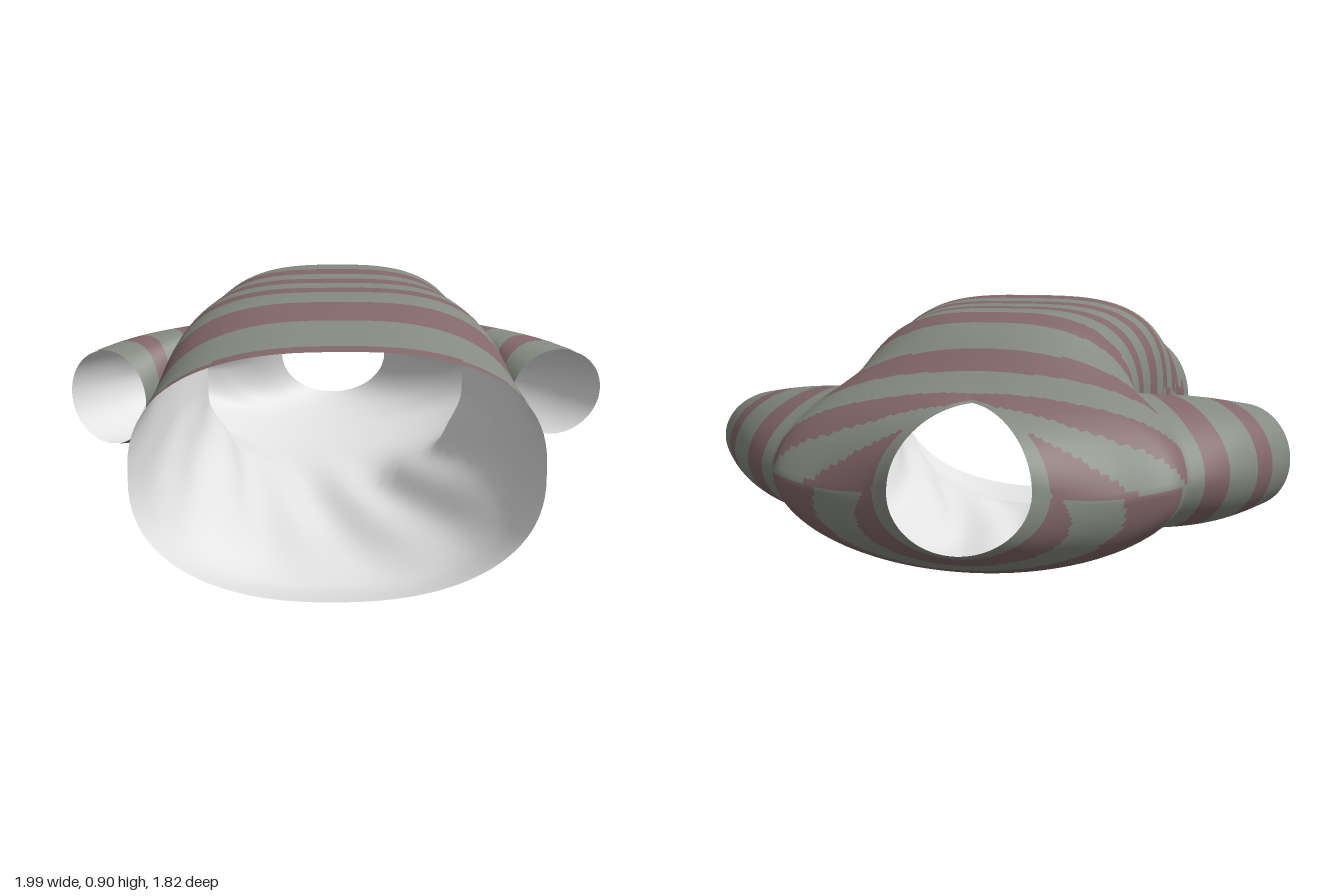
import * as THREE from 'three';

const COLS = 96, ROWS = 165, SLEEVE_STEPS = 30;

// Torso rings from hem to neckline:
// zFront, zSide, zBack, halfWidth, yFront, ySide, yBack, front roundness, back roundness, V shape
const RINGS = [
  [0.88, 0.835, 0.91, 0.62, 0.79, 0.41, 0.03, 2.6, 2.25, 0],
  [0.73, 0.72, 0.73, 0.585, 0.85, 0.42, 0.0, 2.7, 2.3, 0],
  [0.55, 0.55, 0.55, 0.55, 0.90, 0.46, 0.03, 3.1, 2.1, 0],
  [0.30, 0.30, 0.30, 0.52, 0.90, 0.49, 0.035, 3.3, 2.0, 0],
  [0.05, 0.05, 0.05, 0.475, 0.90, 0.49, 0.045, 3.3, 2.0, 0],
  [-0.20, -0.20, -0.20, 0.485, 0.90, 0.46, 0.05, 2.9, 2.0, 0],
  [-0.33, -0.35, -0.36, 0.55, 0.845, 0.44, 0.065, 2.3, 2, 0],
  [-0.44, -0.535, -0.55, 0.67, 0.765, 0.43, 0.095, 2, 2, 0],
  [-0.52, -0.69, -0.71, 0.64, 0.71, 0.42, 0.14, 2, 2, 0.1],
  [-0.57, -0.765, -0.80, 0.46, 0.685, 0.40, 0.185, 1.95, 2, 0.4],
  [-0.60, -0.82, -0.87, 0.30, 0.67, 0.41, 0.225, 1.95, 2, 0.75],
  [-0.62, -0.855, -0.91, 0.22, 0.66, 0.43, 0.25, 2, 2, 0.88],
];
const LAST = RINGS.length - 1;

// Armhole extents in the torso grid
const R0 = Math.round(5.45 / LAST * ROWS), R1 = Math.round(7.65 / LAST * ROWS);
const RMID = (R0 + R1) / 2, RHALF = (R1 - R0) / 2;
const MID = COLS / 4, HALF = 9, C0 = MID - HALF, C1 = MID + HALF;

// Sleeve cuffs: centre, horizontal half axis, half height
const CUFFS = [
  { name: 'leftSleeve', sx: 1, centre: [0.815, 0.435, -0.10], axis: [0.18, -0.07], height: 0.162 },
  { name: 'rightSleeve', sx: -1, centre: [-0.848, 0.42, -0.12], axis: [-0.15, -0.08], height: 0.178 },
];

// Smooth interpolation of all ring values
function ringAt(v) {
  const i = Math.min(Math.floor(v), LAST - 1), t = v - i;
  const [a, b, c, d] = [i - 1, i, i + 1, i + 2].map(k => RINGS[THREE.MathUtils.clamp(k, 0, LAST)]);
  return b.map((_, k) => 0.5 * (2 * b[k] + (c[k] - a[k]) * t
    + (2 * a[k] - 5 * b[k] + 4 * c[k] - d[k]) * t * t
    + (3 * b[k] - a[k] - 3 * c[k] + d[k]) * t * t * t));
}

const signedPow = (n, p) => Math.sign(n) * Math.pow(Math.abs(n), p);
// Cloth rows bow towards the hem at the sides
const bow = x => 0.1 * x * x;

function torsoPoint(v, u) {
  const [zF, zS, zB, w, yF, yS, yB, eF, eB, vee] = ringAt(v);
  const s = Math.sin(u), c = Math.cos(u), front = c > 0;
  const p = 2 / (front ? eF : eB);
  // Soft folds under the arms and across the back
  const mask = v > 1 && v < 7 ? Math.max(0, 0.2 - c) * Math.sin(Math.PI * (v - 1) / 6) : 0;
  const fold = 1 - 0.06 * mask * (0.5 + 0.5 * Math.sin(11 * u + 6 * zS));
  const f = front ? THREE.MathUtils.lerp(c, 1 - Math.abs(s), vee) : -c;
  const lean = -0.02 * THREE.MathUtils.smoothstep(zS, -0.3, 0.05);
  const x = w * signedPow(s, p) * fold + lean;
  return new THREE.Vector3(x,
    yS + (front ? yF - yS : yS - yB) * signedPow(c, p) * fold,
    zS + ((front ? zF : zB) - zS) * f + bow(x));
}

// Grid point, with the grid around each armhole eased from square to round
function gridPoint(i, j) {
  const left = j <= COLS / 2;
  let a = (i - RMID) / RHALF, b = ((left ? j : COLS - j) - MID) / HALF;
  const m = Math.max(Math.abs(a), Math.abs(b));
  if (m > 0 && m < 2) {
    const k = 1 + (m / Math.hypot(a, b) - 1) * Math.min(1, 2 - m);
    a *= k;
    b *= k;
  }
  const col = MID + b * HALF;
  return torsoPoint((RMID + a * RHALF) / ROWS * LAST, (left ? col : COLS - col) / COLS * Math.PI * 2);
}

// Stripe centres along the chest; the back panel is cut slightly offset
const STRIPES = [0.88, 0.66, 0.437, 0.213, -0.01, -0.235, -0.435, -0.62, -0.785, -0.93];
function isStripe(p, back) {
  const q = p.z - bow(p.x) - (back ? 0.07 : 0);
  return STRIPES.some(c => Math.abs(q - c) < (c > 0.8 ? 0.03 : c > -0.1 ? 0.054 : 0.043));
}

export function createModel() {
  const cloth = new THREE.MeshStandardMaterial({ color: 0x848a81 });
  const stripe = new THREE.MeshStandardMaterial({ color: 0x826769 });
  const lining = new THREE.MeshStandardMaterial({ color: 0xe2e2e2 });
  cloth.name = 'greyGreenCloth';
  stripe.name = 'dustyRedStripe';
  lining.name = 'paleLining';

  const points = [];
  const parts = { torso: [], torsoStripes: [], collar: [], leftSleeve: [], leftSleeveStripes: [],
    rightSleeve: [], rightSleeveStripes: [] };
  const quad = (list, a, b, c, d) => list.push(a, b, c, a, c, d);

  // Torso grid with an armhole left open on each side
  for (let i = 0; i <= ROWS; i++)
    for (let j = 0; j < COLS; j++) points.push(gridPoint(i, j));
  const id = (i, j) => i * COLS + (j + COLS) % COLS;
  for (let i = 0; i < ROWS; i++) {
    for (let j = 0; j < COLS; j++) {
      const side = j < COLS / 2 ? j : COLS - 1 - j;
      if (i >= R0 && i < R1 && side >= C0 && side < C1) continue;
      const corners = [id(i, j), id(i, j + 1), id(i + 1, j + 1), id(i + 1, j)];
      const centre = new THREE.Vector3();
      corners.forEach(k => centre.addScaledVector(points[k], 0.25));
      const back = centre.z > -0.25 ? centre.y < 0.52 : side >= MID;
      const list = i / ROWS * LAST > 10.2 ? parts.collar
        : isStripe(centre, back) ? parts.torsoStripes : parts.torso;
      quad(list, ...corners);
    }
  }

  // Armhole outline as grid positions
  const loop = [];
  for (let j = C0; j < C1; j++) loop.push([R0, j]);
  for (let i = R0; i < R1; i++) loop.push([i, C1]);
  for (let j = C1; j > C0; j--) loop.push([R1, j]);
  for (let i = R1; i > R0; i--) loop.push([i, C0]);
  const n = loop.length;

  // Sleeves grow from the armhole outline to an oval cuff
  for (const { name, sx, centre, axis, height } of CUFFS) {
    let previous = loop.map(([i, j]) => id(i, sx > 0 ? j : COLS - j));
    const starts = previous.map(k => points[k]);
    for (let s = 1; s <= SLEEVE_STEPS; s++) {
      const t = s / SLEEVE_STEPS;
      const ring = loop.map(([i, j], k) => {
        const angle = Math.atan2((j - MID) / HALF, (i - RMID) / RHALF);
        const ca = Math.cos(angle), sa = Math.sin(angle);
        const radial = new THREE.Vector3(axis[0] * ca, -height * sa, axis[1] * ca);
        const cuff = new THREE.Vector3(...centre).add(radial);
        const bulge = Math.sin(Math.PI * t) * (0.09 + 0.06 * ca);
        points.push(starts[k].clone().lerp(cuff, t).addScaledVector(radial, bulge));
        return points.length - 1;
      });
      const striped = (t > 0.62 && t < 0.79) || (t > 0.16 && t < 0.35);
      const list = parts[name + (striped ? 'Stripes' : '')];
      for (let k = 0; k < n; k++) {
        const m = (k + 1) % n;
        if (sx > 0) quad(list, previous[k], previous[m], ring[m], ring[k]);
        else quad(list, previous[m], previous[k], ring[k], ring[m]);
      }
      previous = ring;
    }
  }

  // Shared smooth surface
  const surface = new THREE.BufferGeometry().setFromPoints(points);
  const all = Object.values(parts).flat();
  surface.setIndex(all);
  surface.computeVertexNormals();
  const position = surface.getAttribute('position'), normal = surface.getAttribute('normal');

  const group = new THREE.Group();
  group.name = 'stripedShirt';
  for (const [name, index] of Object.entries(parts)) {
    const geometry = new THREE.BufferGeometry();
    geometry.setAttribute('position', position);
    geometry.setAttribute('normal', normal);
    geometry.setIndex(index);
    const mesh = new THREE.Mesh(geometry, name.endsWith('Stripes') ? stripe : cloth);
    mesh.name = name;
    group.add(mesh);
  }

  // Lining: the same surface, slightly inside and facing inward
  const inner = new THREE.BufferGeometry().setFromPoints(points.map((p, k) =>
    p.clone().addScaledVector(new THREE.Vector3().fromBufferAttribute(normal, k), -0.003)));
  const reversed = [];
  for (let k = 0; k < all.length; k += 3) reversed.push(all[k], all[k + 2], all[k + 1]);
  inner.setIndex(reversed);
  inner.computeVertexNormals();
  const insideMesh = new THREE.Mesh(inner, lining);
  insideMesh.name = 'lining';
  group.add(insideMesh);
  return group;
}
